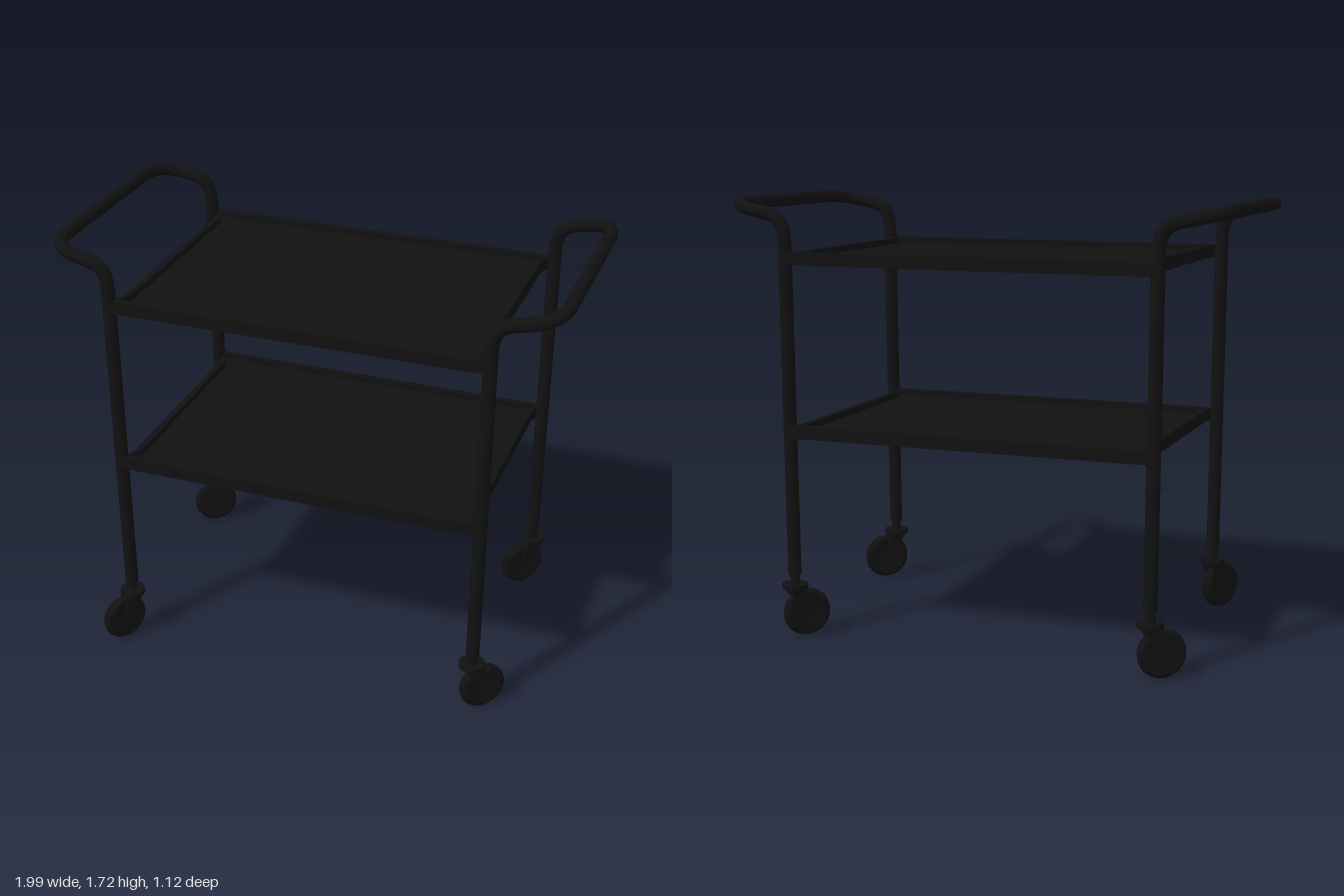
import * as THREE from 'three';

const black = new THREE.MeshStandardMaterial({ color: 0x111111 });
const V = (x, y, z) => new THREE.Vector3(x, y, z);
const FRONT = 0.433, BACK = -0.517, R = 0.026;

function add(parent, name, geometry, x = 0, y = 0, z = 0) {
  const mesh = new THREE.Mesh(geometry, black);
  mesh.name = name;
  mesh.position.set(x, y, z);
  parent.add(mesh);
  return mesh;
}

// One bent tube: up a leg, out and around the handle, down the other leg
function sideFrame(s) {
  const half = (z, inward) => [
    [V(s * 0.725, 0.26, z), V(s * 0.735, 1.54, z)],
    [V(s * 0.735, 1.54, z), V(s * 0.736, 1.64, z), V(s * 0.76, 1.66, z), V(s * 0.84, 1.675, z)],
    [V(s * 0.84, 1.675, z), V(s * 0.97, 1.70, z), V(s * 0.97, 1.70, z + inward * 0.15)],
  ];
  const up = half(FRONT, -1);
  const down = half(BACK, 1).reverse().map(p => p.reverse());
  const grip = [V(s * 0.97, 1.70, FRONT - 0.15), V(s * 0.97, 1.70, BACK + 0.15)];
  const path = new THREE.CurvePath();
  for (const p of [...up, grip, ...down]) {
    path.add(p.length === 2 ? new THREE.LineCurve3(...p)
      : p.length === 3 ? new THREE.QuadraticBezierCurve3(...p)
      : new THREE.CubicBezierCurve3(...p));
  }
  const group = new THREE.Group();
  group.name = s > 0 ? 'leftFrame' : 'rightFrame';
  add(group, 'legsAndHandle', new THREE.TubeGeometry(path, 200, R, 20));
  for (const z of [FRONT, BACK]) {
    add(group, 'legEnd', new THREE.CylinderGeometry(R, R, 0.02, 20), s * 0.725, 0.268, z);
  }
  return group;
}

// Tray outline whose end edges flare out at the corners to meet the legs
function outline(target, inset) {
  const e = 0.695 - inset, c = 0.722 - inset;
  const f = 0.455 - inset, b = -0.541 + inset;
  target.moveTo(-c, b);
  target.lineTo(c, b);
  target.lineTo(c, b + 0.02);
  target.quadraticCurveTo(e, b + 0.04, e, b + 0.085);
  target.lineTo(e, f - 0.085);
  target.quadraticCurveTo(e, f - 0.04, c, f - 0.02);
  target.lineTo(c, f);
  target.lineTo(-c, f);
  target.lineTo(-c, f - 0.02);
  target.quadraticCurveTo(-e, f - 0.04, -e, f - 0.085);
  target.lineTo(-e, b + 0.085);
  target.quadraticCurveTo(-e, b + 0.04, -c, b + 0.02);
  target.closePath();
  return target;
}

function slab(shape, height) {
  const g = new THREE.ExtrudeGeometry(shape, { depth: height, bevelEnabled: false, curveSegments: 8 });
  return g.rotateX(Math.PI / 2).translate(0, height / 2, 0);
}

function tray(name, y) {
  const group = new THREE.Group();
  group.name = name;
  group.position.y = y;
  const rim = outline(new THREE.Shape(), 0);
  rim.holes.push(outline(new THREE.Path(), 0.025));
  add(group, 'rim', slab(rim, 0.05));
  add(group, 'panel', slab(outline(new THREE.Shape(), 0.012), 0.012), 0, -0.006, 0);
  return group;
}

// Swivel caster; the wheel trails toward local +x
function caster(name, x, z, dx, dz) {
  const group = new THREE.Group();
  group.name = name;
  group.position.set(x, 0, z);
  group.rotation.y = Math.atan2(-dz, dx);
  add(group, 'stem', new THREE.CylinderGeometry(0.019, 0.019, 0.07, 16), 0, 0.245, 0);
  add(group, 'swivelPlate', new THREE.CylinderGeometry(0.051, 0.051, 0.018, 24), 0, 0.211, 0);
  add(group, 'swivelBearing', new THREE.CylinderGeometry(0.04, 0.032, 0.02, 24), 0, 0.194, 0);

  // Tyre with rounded shoulders
  const profile = [[0.001, -0.018], [0.065, -0.018], [0.07, -0.022], [0.082, -0.021], [0.091, -0.014],
    [0.095, 0], [0.091, 0.014], [0.082, 0.021], [0.07, 0.022], [0.065, 0.018], [0.001, 0.018]]
    .map(p => new THREE.Vector2(...p));
  const wheel = new THREE.LatheGeometry(profile, 32).rotateX(Math.PI / 2);
  add(group, 'wheel', wheel, 0.046, 0.1, 0);
  add(group, 'axle', new THREE.CylinderGeometry(0.014, 0.014, 0.066, 16).rotateX(Math.PI / 2), 0.046, 0.1, 0);

  // Fork plates narrow from the swivel down to the axle
  const plate = new THREE.Shape();
  plate.moveTo(-0.035, 0.203);
  plate.lineTo(0.035, 0.203);
  plate.lineTo(0.066, 0.1);
  plate.absarc(0.046, 0.1, 0.02, 0, -Math.PI, true);
  plate.closePath();
  for (const side of [-1, 1]) {
    const g = new THREE.ExtrudeGeometry(plate, { depth: 0.006, bevelEnabled: false });
    add(group, 'forkPlate', g, 0, 0, side * 0.027 - 0.003);
  }
  return group;
}

export function createModel() {
  const cart = new THREE.Group();
  cart.name = 'servingCart';
  cart.add(sideFrame(1), sideFrame(-1));
  cart.add(tray('upperTray', 1.5), tray('lowerTray', 0.83));
  cart.add(
    caster('frontLeftCaster', 0.725, FRONT, 0.74, -0.67),
    caster('frontRightCaster', -0.725, FRONT, -0.53, 0.85),
    caster('backLeftCaster', 0.725, BACK, -0.7, 0.7),
    caster('backRightCaster', -0.725, BACK, -0.82, 0.57),
  );
  return cart;
}
